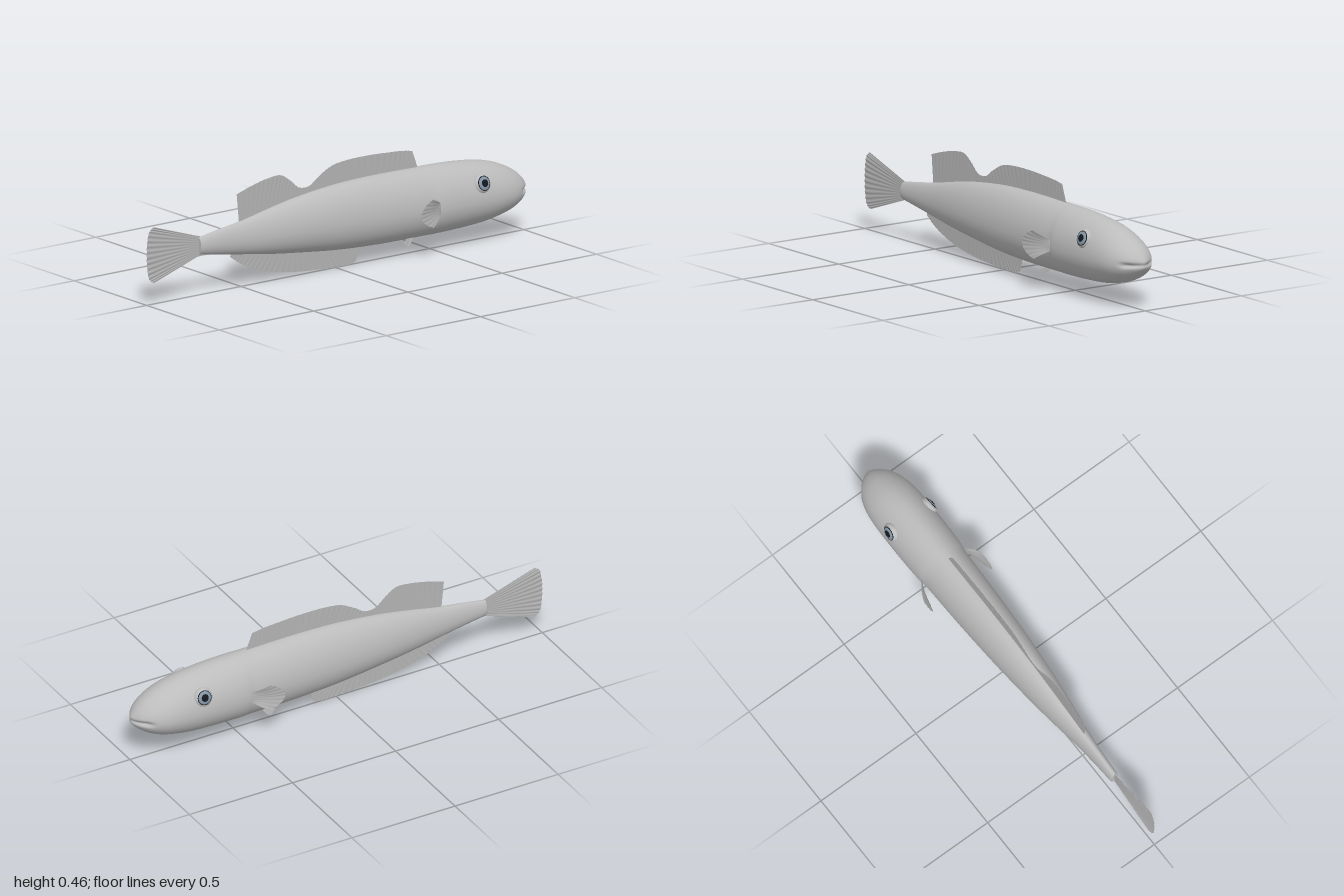
import * as THREE from 'three';

const V = (x, y, z = 0) => new THREE.Vector3(x, y, z);

// Indexed surface from rows of points; closed wraps each row into a ring
function loft(rows, closed) {
  const n = rows[0].length, index = [];
  for (let i = 0; i < rows.length - 1; i++) {
    for (let j = 0; j < (closed ? n : n - 1); j++) {
      const a = i * n + j, b = i * n + (j + 1) % n;
      index.push(a, a + n, b, b, a + n, b + n);
    }
  }
  const geo = new THREE.BufferGeometry().setFromPoints(rows.flat());
  geo.setIndex(index);
  geo.computeVertexNormals();
  return geo;
}

// Thin fin between a root curve and an outer edge curve, with fine pleats
function finGeometry(root, edge, rays, pleat, bulge = 0) {
  const a = new THREE.CatmullRomCurve3(root), b = new THREE.CatmullRomCurve3(edge);
  const rows = [], n = rays * 4;
  for (let i = 0; i <= n; i++) {
    const p = a.getPoint(i / n), q = b.getPoint(i / n), row = [];
    for (let j = 0; j <= 8; j++) {
      const t = j / 8, v = p.clone().lerp(q, t);
      v.z += pleat * t * Math.sin(i * Math.PI / 2) + bulge * Math.sin(t * Math.PI);
      row.push(v);
    }
    rows.push(row);
  }
  return loft(rows, false);
}

// Body: egg-shaped sections listed as x, bottom, top, half width
function bodyGeometry() {
  const sections = [
    [-0.722, 0.18, 0.247, 0.014], [-0.715, 0.175, 0.252, 0.02], [-0.62, 0.16, 0.268, 0.026],
    [-0.5, 0.141, 0.286, 0.036], [-0.35, 0.118, 0.317, 0.056], [-0.2, 0.1, 0.343, 0.073],
    [0, 0.079, 0.364, 0.089], [0.2, 0.069, 0.37, 0.1], [0.36, 0.067, 0.368, 0.106],
    [0.45, 0.067, 0.366, 0.109], [0.5, 0.067, 0.365, 0.116], [0.62, 0.07, 0.36, 0.12],
    [0.74, 0.077, 0.347, 0.12], [0.82, 0.09, 0.329, 0.116], [0.88, 0.105, 0.306, 0.106],
    [0.93, 0.126, 0.279, 0.086], [0.965, 0.15, 0.251, 0.06], [0.985, 0.168, 0.228, 0.035],
    [0.997, 0.183, 0.209, 0.013], [1, 0.196, 0.196, 0],
  ];
  const low = new THREE.CatmullRomCurve3(sections.map(s => V(s[0], s[1], s[3])), false, 'catmullrom');
  const high = new THREE.CatmullRomCurve3(sections.map(s => V(s[0], s[2], s[3])), false, 'catmullrom');
  const rows = [], steps = (sections.length - 1) * 5, around = 80;
  rows.push(Array.from({ length: around }, () => V(-0.722, 0.213)));
  for (let i = 0; i <= steps; i++) {
    const b = low.getPoint(i / steps), t = high.getPoint(i / steps), row = [];
    // The widest line settles towards the mouth at the snout
    const mid = b.y + (t.y - b.y) * 0.44;
    // Mouth crease only near the snout
    const mouth = 0.2 * THREE.MathUtils.smoothstep(b.x, 0.915, 0.965);
    for (let j = 0; j < around; j++) {
      const a = j / around * Math.PI * 2, s = Math.sin(a), c = Math.cos(a);
      const y = mid + s * (s > 0 ? t.y - mid : mid - b.y);
      const narrow = s > 0 ? 1 - 0.08 * s * s : 1;
      const dent = 1 - mouth * Math.exp(-(((y - 0.195) / 0.009) ** 2));
      row.push(V(b.x - (1 - dent) * 0.03, y, Math.max(b.z, 0) * c * narrow * dent));
    }
    rows.push(row);
  }
  return loft(rows, true);
}

export function createModel() {
  const mat = (name, color, side = THREE.FrontSide) => {
    const m = new THREE.MeshStandardMaterial({ color, side });
    m.name = name;
    return m;
  };
  const skin = mat('grey skin', 0xbcbcbc);
  const finSkin = mat('grey fin', 0xb4b4b4, THREE.DoubleSide);
  const iris = mat('blue grey iris', 0x8496a6);
  const dark = mat('black pupil', 0x14181e);

  const fish = new THREE.Group();
  fish.name = 'fish';
  const add = (name, geo, material, parent = fish) => {
    const mesh = new THREE.Mesh(geo, material);
    mesh.name = name;
    parent.add(mesh);
    return mesh;
  };

  add('body', bodyGeometry(), skin);

  // Fins on the middle line
  add('tailFin', finGeometry(
    [V(-0.7, 0.249), V(-0.7, 0.213), V(-0.7, 0.178)],
    [V(-0.963, 0.335), V(-0.985, 0.318), V(-0.997, 0.27), V(-1, 0.213),
      V(-0.997, 0.156), V(-0.985, 0.108), V(-0.96, 0.09)], 14, 0.002), finSkin);
  add('dorsalFin', finGeometry(
    [V(-0.51, 0.27), V(-0.35, 0.3), V(-0.18, 0.335), V(0, 0.35), V(0.2, 0.355), V(0.44, 0.355)],
    [V(-0.523, 0.405), V(-0.44, 0.43), V(-0.36, 0.447), V(-0.29, 0.45), V(-0.24, 0.42),
      V(-0.19, 0.38), V(-0.14, 0.378), V(-0.09, 0.41), V(-0.02, 0.446), V(0.06, 0.458),
      V(0.17, 0.46), V(0.28, 0.455), V(0.36, 0.449), V(0.408, 0.441)], 40, 0.0008), finSkin);
  add('analFin', finGeometry(
    [V(-0.55, 0.16), V(-0.3, 0.13), V(-0.1, 0.1), V(0.13, 0.085)],
    [V(-0.558, 0.138), V(-0.5, 0.098), V(-0.42, 0.063), V(-0.32, 0.034), V(-0.2, 0.015),
      V(-0.1, 0.007), V(0.02, 0.001), V(0.09, 0.003), V(0.11, 0.012)], 30, 0.0008), finSkin);

  // Paired fins and eyes
  for (const side of [1, -1]) {
    const label = side > 0 ? 'right' : 'left';
    const P = (x, y, z) => V(x, y, z * side);
    add(label + 'PectoralFin', finGeometry(
      [P(0.478, 0.225, 0.106), P(0.484, 0.204, 0.108), P(0.478, 0.182, 0.108)],
      [P(0.405, 0.262, 0.15), P(0.37, 0.245, 0.154), P(0.345, 0.222, 0.157),
        P(0.336, 0.2, 0.157), P(0.346, 0.175, 0.156), P(0.375, 0.152, 0.153), P(0.408, 0.138, 0.149)],
      8, 0.001, 0.006 * side), finSkin);
    add(label + 'PelvicFin', finGeometry(
      [P(0.385, 0.082, 0.038), P(0.36, 0.082, 0.04)],
      [P(0.366, 0.056, 0.047), P(0.345, 0.043, 0.05), P(0.322, 0.066, 0.049)],
      3, 0.0005), finSkin);

    // Eye: nested bands of one flattened dome
    const eye = new THREE.Group();
    eye.name = label + 'Eye';
    eye.position.set(0.702, 0.271, 0.099 * side);
    eye.quaternion.setFromUnitVectors(V(0, 1, 0), V(0.05, 0.3, 0.95 * side).normalize());
    eye.scale.set(0.042, 0.022, 0.042);
    fish.add(eye);
    const band = (name, from, to, material) => add(name,
      new THREE.SphereGeometry(1, 32, 8, 0, Math.PI * 2, from, to - from), material, eye);
    band('pupil', 0, 0.4, dark);
    band('iris', 0.4, 0.76, iris);
    band('irisRim', 0.76, 0.87, dark);
    band('eyelid', 0.87, Math.PI, skin);
  }
  return fish;
}
